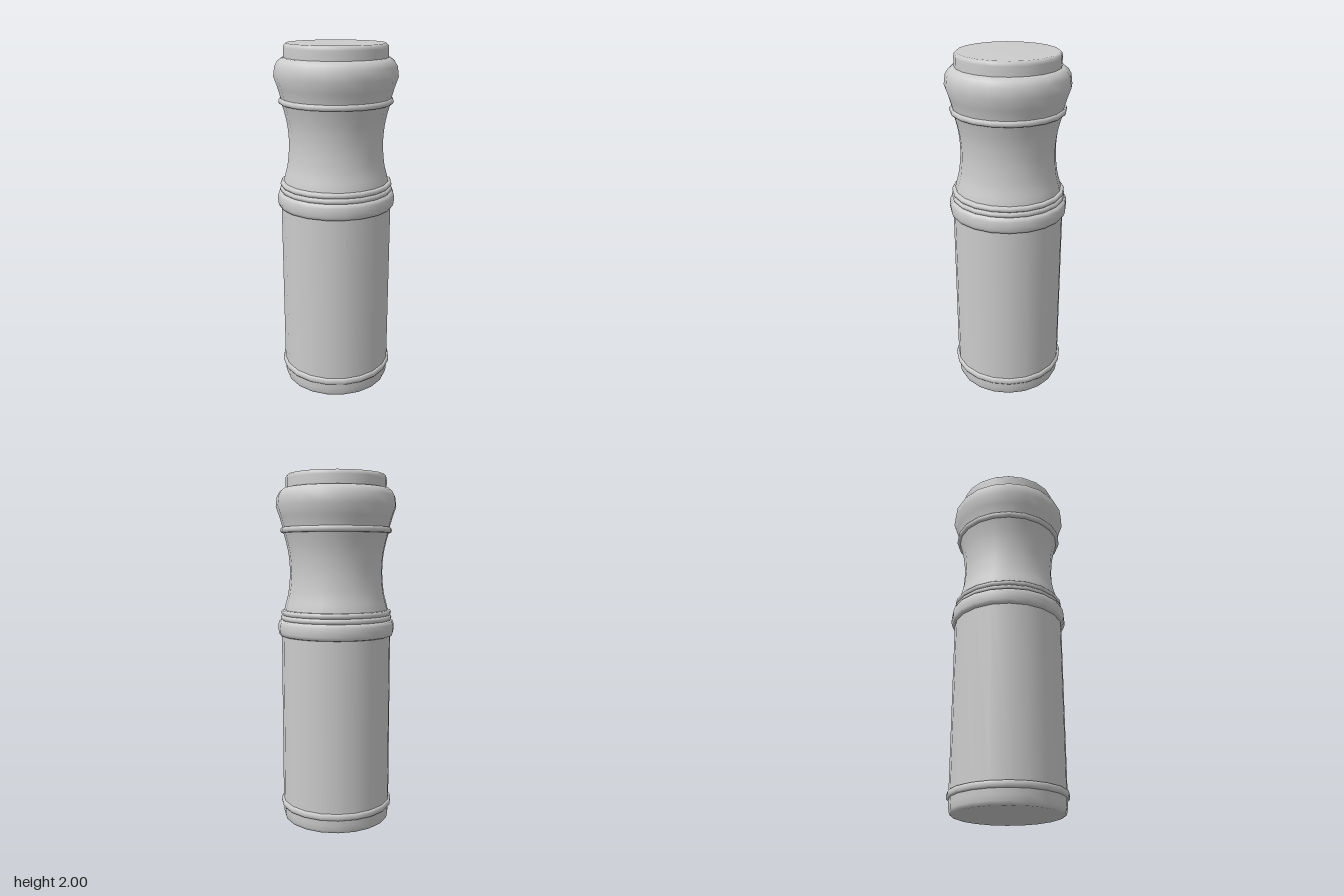
import * as THREE from 'three';

const SIDES = 20;
const material = new THREE.MeshStandardMaterial({ color: 0xcccccc });

export function createModel() {
  const group = new THREE.Group();
  const vec = (points) => points.map(([r, y]) => new THREE.Vector2(r, y));

  // Turned part from a bottom-to-top list of [radius, height]
  function turned(name, points) {
    const mesh = new THREE.Mesh(new THREE.LatheGeometry(vec(points), SIDES), material);
    mesh.name = name;
    group.add(mesh);
  }

  // Rounded band standing out from the surface between two heights
  function band(name, y0, y1, inner, outer) {
    const points = [];
    for (let i = 0; i <= 6; i++) {
      const a = (i / 6 - 0.5) * Math.PI;
      points.push([
        inner + (outer - inner) * Math.sqrt(Math.cos(a) + 1e-9),
        (y0 + y1) / 2 + Math.sin(a) * (y1 - y0) / 2,
      ]);
    }
    turned(name, points);
  }

  // Foot with a closed underside
  turned('foot', [[0, 0], [0.295, 0], [0.305, 0.004], [0.312, 0.02], [0.315, 0.05], [0.316, 0.09]]);
  band('footRing', 0.08, 0.12, 0.31, 0.329);

  // Straight grip
  turned('body', [[0.316, 0.1], [0.316, 1.12]]);

  // Collar with two thin rings above it
  band('collar', 1.09, 1.185, 0.31, 0.336);
  band('lowerCollarRing', 1.18, 1.213, 0.295, 0.322);
  band('upperCollarRing', 1.21, 1.242, 0.295, 0.319);

  // Waisted neck, swept through a smooth curve
  const neck = new THREE.SplineCurve(vec([
    [0.305, 1.21], [0.296, 1.26], [0.276, 1.34], [0.266, 1.45],
    [0.272, 1.55], [0.288, 1.63], [0.308, 1.7],
  ]));
  turned('neck', neck.getPoints(18).map((p) => [p.x, p.y]));
  band('neckRing', 1.675, 1.71, 0.295, 0.319);

  // Bulging head with a shoulder that runs in under the cap
  turned('head', [
    [0.304, 1.695], [0.309, 1.72], [0.322, 1.765], [0.343, 1.825],
    [0.336, 1.88], [0.32, 1.907], [0.3, 1.922], [0.27, 1.928],
  ]);

  // Flat cap with a small rounded rim
  turned('cap', [[0.287, 1.915], [0.287, 1.975], [0.284, 1.99], [0.273, 2], [0, 2]]);

  return group;
}
